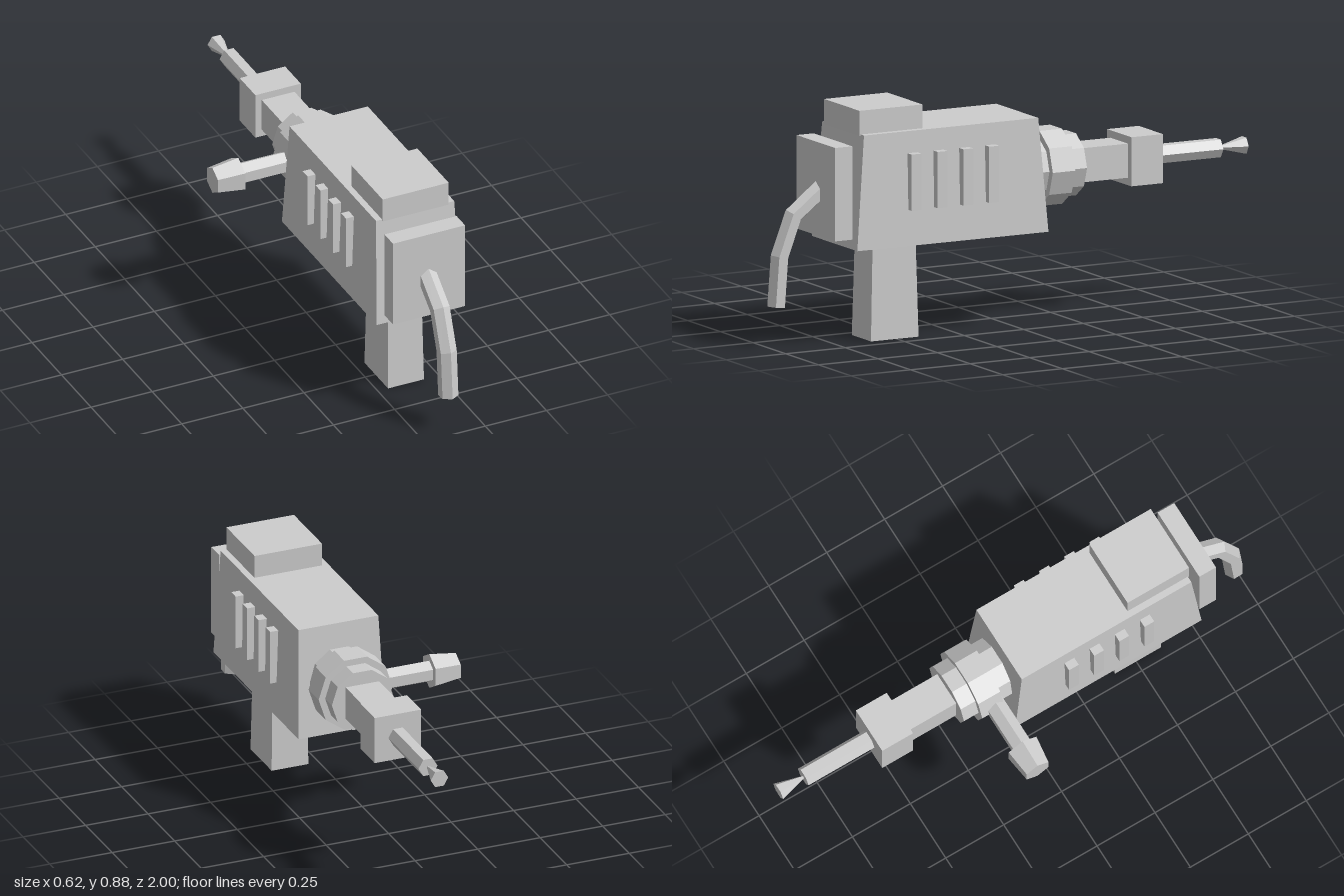
import * as THREE from 'three';

const grey = new THREE.MeshStandardMaterial({ color: 0xcccccc });
grey.name = 'light grey';

const CX = 0.115; // centre line of the tool
const AXIS_Y = 0.578; // height of the drill axis

// Faceted mesh with one normal per face
function part(name, geometry, x = 0, y = 0, z = 0) {
  const flat = geometry.index ? geometry.toNonIndexed() : geometry;
  flat.computeVertexNormals();
  const mesh = new THREE.Mesh(flat, grey);
  mesh.name = name;
  mesh.position.set(x, y, z);
  return mesh;
}

// Box given by its extents
function block(name, x0, x1, y0, y1, z0, z1) {
  return part(name, new THREE.BoxGeometry(x1 - x0, y1 - y0, z1 - z0),
    (x0 + x1) / 2, (y0 + y1) / 2, (z0 + z1) / 2);
}

// Box whose top is narrower than its bottom
function taperedBlock(name, bottom, top, y0, y1, z) {
  const g = new THREE.BoxGeometry(1, y1 - y0, 1);
  const p = g.attributes.position;
  for (let i = 0; i < p.count; i++) {
    const [w, d] = p.getY(i) > 0 ? top : bottom;
    p.setX(i, p.getX(i) * w);
    p.setZ(i, p.getZ(i) * d);
  }
  return part(name, g, CX, (y0 + y1) / 2, z);
}

// Prism along z, from the front radius at z0 to the back radius at z1
function prismZ(name, sides, rFront, rBack, z0, z1) {
  const g = new THREE.CylinderGeometry(rFront, rBack, z0 - z1, sides);
  g.rotateY(Math.PI / 2).rotateX(Math.PI / 2);
  return part(name, g, CX, AXIS_Y, (z0 + z1) / 2);
}

// Hexagonal prism along x, from the inner radius at x0 to the outer radius at x1
function prismX(name, rInner, rOuter, x0, x1) {
  const g = new THREE.CylinderGeometry(rInner, rOuter, x0 - x1, 6);
  g.rotateY(Math.PI / 6).rotateZ(-Math.PI / 2);
  return part(name, g, (x0 + x1) / 2, AXIS_Y, -0.143);
}

// Hexagonal cord bent along a drooping path
function cord() {
  const path = [[0.598, 0.75], [0.487, 0.895], [0.337, 0.952], [0.152, 0.966]]
    .map(([y, z]) => new THREE.Vector3(CX, y, z));
  const last = path.length - 1;
  const g = new THREE.CylinderGeometry(0.0375, 0.0375, last, 6, last);
  const p = g.attributes.position;
  const xAxis = new THREE.Vector3(1, 0, 0);
  for (let i = 0; i < p.count; i++) {
    const k = Math.round(last / 2 - p.getY(i));
    const before = path[k].clone().sub(path[Math.max(k - 1, 0)]).normalize();
    const after = path[Math.min(k + 1, last)].clone().sub(path[k]).normalize();
    const back = before.add(after).normalize().negate();
    const normal = xAxis.clone().cross(back);
    const v = path[k].clone()
      .addScaledVector(xAxis, p.getX(i))
      .addScaledVector(normal, p.getZ(i));
    p.setXYZ(i, v.x, v.y, v.z);
  }
  return part('powerCord', g);
}

export function createModel() {
  const model = new THREE.Group();
  model.name = 'powerDrill';

  // Housing
  model.add(
    taperedBlock('body', [0.348, 0.803], [0.32, 0.732], 0.365, 0.793, 0.319),
    taperedBlock('grip', [0.147, 0.2], [0.136, 0.18], 0, 0.38, 0.508),
    block('topCap', -0.02, 0.25, 0.787, 0.882, 0.425, 0.69),
    block('endPlate', -0.031, 0.264, 0.405, 0.755, 0.728, 0.8),
    cord(),
  );

  // Raised vents on both sides
  const vents = new THREE.Group();
  vents.name = 'vents';
  for (const side of [-1, 1]) {
    for (let i = 0; i < 4; i++) {
      const z = 0.157 + i * 0.1085;
      const x = CX + side * 0.165;
      vents.add(block('vent', x - 0.03, x + 0.03, 0.5, 0.711, z - 0.021, z + 0.021));
    }
  }
  model.add(vents);

  // Collar, chuck and bit
  model.add(
    prismZ('collar', 10, 0.122, 0.122, -0.04, -0.273),
    prismZ('collarRing', 10, 0.148, 0.148, -0.115, -0.21),
    block('neck', CX - 0.067, CX + 0.067, 0.514, 0.642, -0.48, -0.27),
    block('chuck', CX - 0.093, CX + 0.093, 0.486, 0.67, -0.608, -0.475),
    prismZ('bitShaft', 6, 0.038, 0.038, -0.6, -0.892),
    prismZ('bitTip', 6, 0.003, 0.035, -0.885, -1),
  );

  // Side handle
  model.add(
    prismX('sideHandleRod', 0.042, 0.042, 0.03, -0.212),
    prismX('sideHandleKnob', 0.069, 0.054, -0.208, -0.314),
  );
  return model;
}
